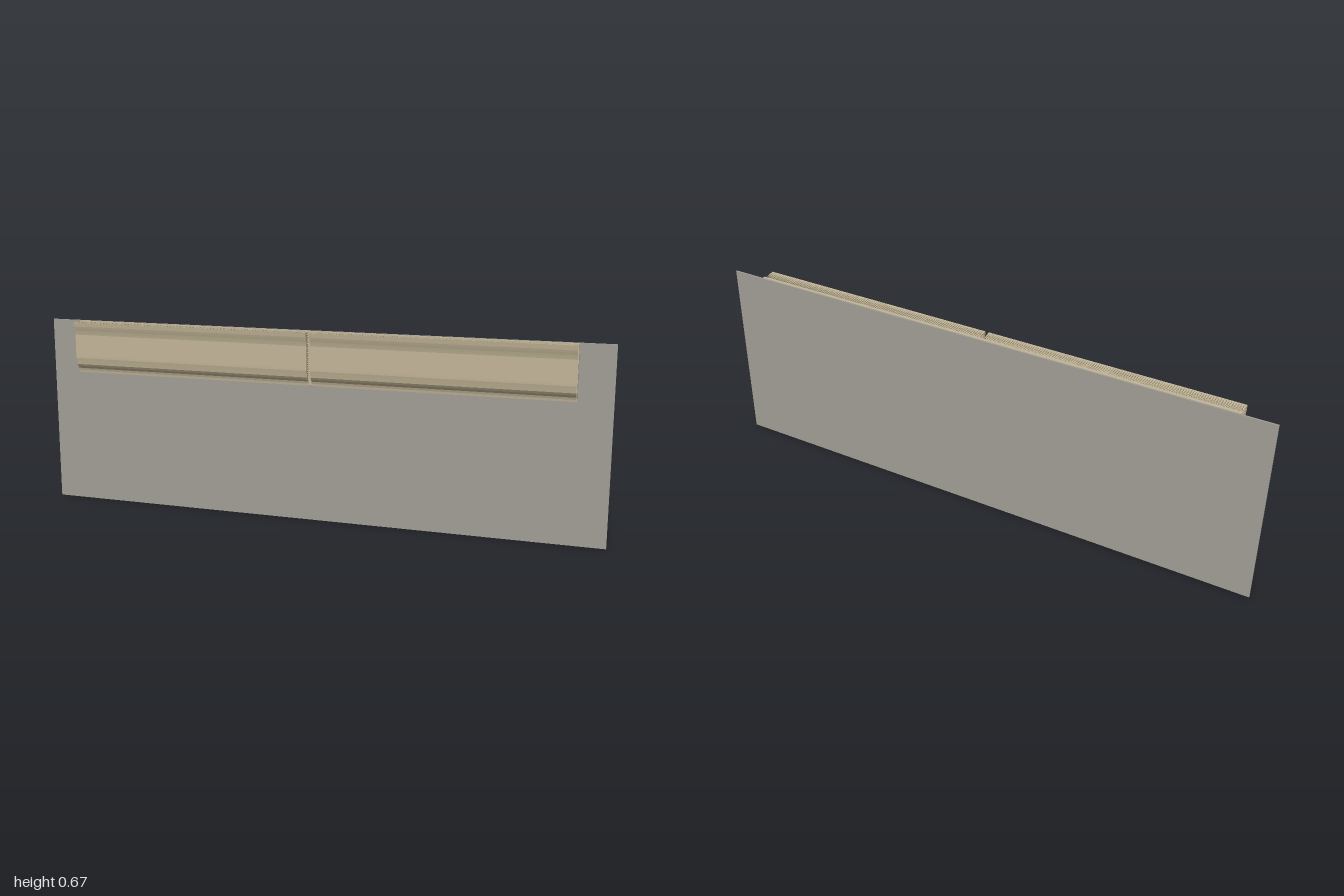
import * as THREE from 'three';

const panelGrey = new THREE.MeshStandardMaterial({ color: 0xa29d96 });
panelGrey.name = 'panelGrey';
const beige = new THREE.MeshStandardMaterial({ color: 0xc3b698 });
beige.name = 'beige';

const TOP = 0.665, BOTTOM = 0.481, HALF = 0.885, GAP = 0.006, TIP_Z = -0.0105;

// front outline of the padding as [y, z], bottom to top
const PROFILE = [
  [0.481, 0.002], [0.494, 0.004], [0.503, 0.011], [0.511, 0.0165], [0.524, 0.019],
  [0.536, 0.0215], [0.62, 0.0215], [0.634, 0.025], [0.648, 0.0295], [0.665, 0.032],
];

function frontZ(y) {
  for (let i = 1; i < PROFILE.length; i++) {
    const [y0, z0] = PROFILE[i - 1], [y1, z1] = PROFILE[i];
    if (y <= y1) return z0 + (z1 - z0) * (y - y0) / (y1 - y0);
  }
  return PROFILE[PROFILE.length - 1][1];
}

function box(name, w, y0, y1, z0, z1, material) {
  const mesh = new THREE.Mesh(new THREE.BoxGeometry(w, y1 - y0, z1 - z0), material);
  mesh.position.set(0, (y0 + y1) / 2, (z0 + z1) / 2);
  mesh.name = name;
  return mesh;
}

// a closed front skin whose cells each taper back to a point
function spikedPad(name, x0, x1, columns, rows) {
  const pos = [];
  const tri = (...corners) => corners.forEach((c) => pos.push(...c));
  const dx = (x1 - x0) / columns, dy = (TOP - BOTTOM) / rows;
  for (let r = 0; r < rows; r++) {
    const ya = BOTTOM + r * dy, yb = ya + dy;
    const za = frontZ(ya), zb = frontZ(yb);
    for (let c = 0; c < columns; c++) {
      const xa = x0 + c * dx, xb = xa + dx;
      const quad = [[xa, ya, za], [xb, ya, za], [xb, yb, zb], [xa, yb, zb]];
      const tip = [(xa + xb) / 2, (ya + yb) / 2, TIP_Z];
      tri(quad[0], quad[1], quad[2]);
      tri(quad[0], quad[2], quad[3]);
      for (let k = 0; k < 4; k++) tri(quad[(k + 1) % 4], quad[k], tip);
    }
  }
  const geometry = new THREE.BufferGeometry();
  geometry.setAttribute('position', new THREE.Float32BufferAttribute(pos, 3));
  geometry.computeVertexNormals();
  const mesh = new THREE.Mesh(geometry, beige);
  mesh.name = name;
  return mesh;
}

export function createModel() {
  const model = new THREE.Group();
  model.name = 'paddedWallPanel';
  model.add(
    box('backPanel', 2, 0, 0.666, -0.0305, -0.025, panelGrey),
    box('mountingBoard', HALF * 2, BOTTOM, TOP, -0.0225, -0.0125, beige),
    spikedPad('leftPad', GAP, HALF, 112, 24),
    spikedPad('rightPad', -HALF, -GAP, 112, 24),
  );
  return model;
}
